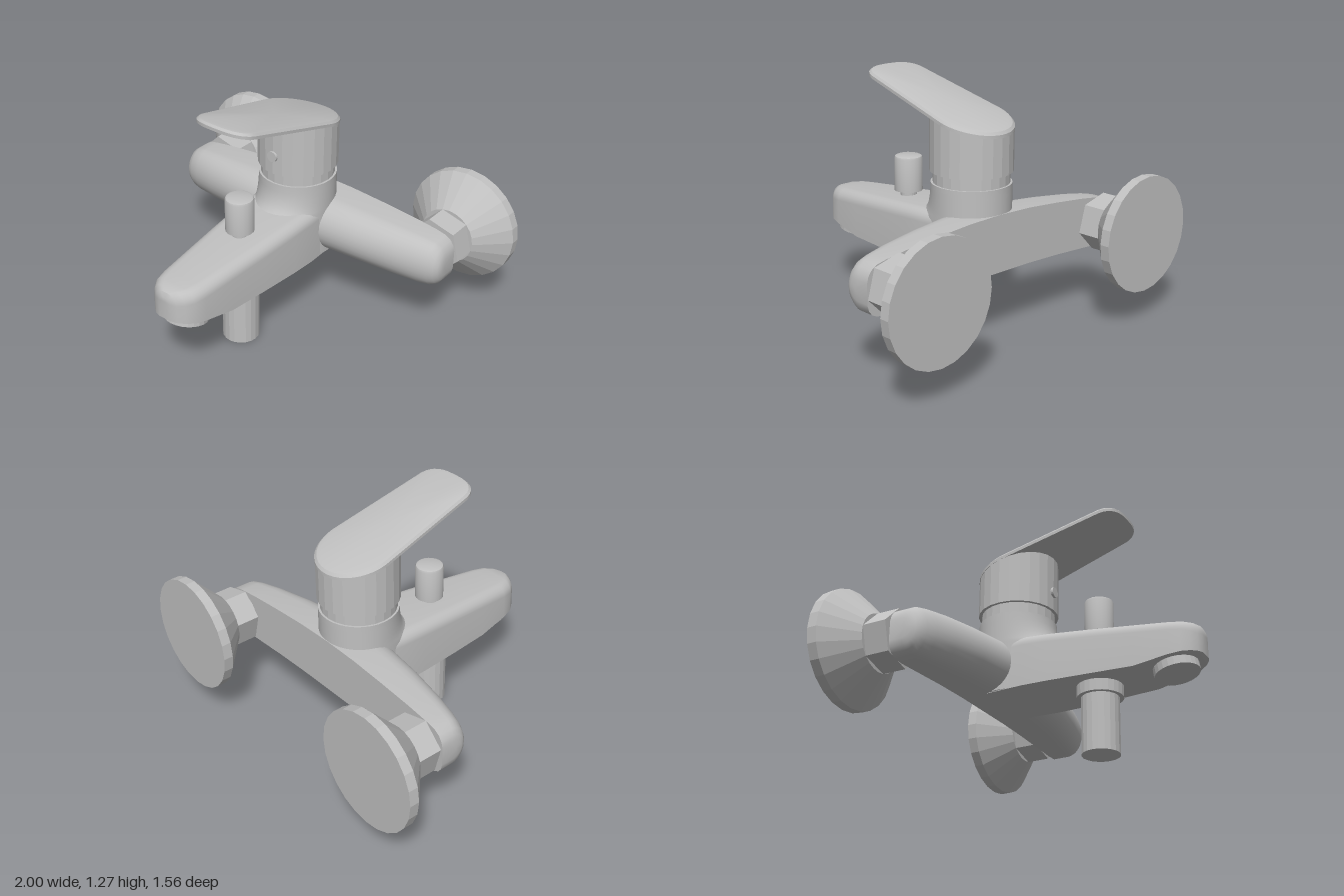
import * as THREE from 'three';
import { toCreasedNormals } from 'three/addons/utils/BufferGeometryUtils.js';

const FLAT = 0.15, SMOOTH = 0.6;

// Joins equal-length rings of [x, y, z] points into a closed solid
function loft(rings) {
  const n = rings[0].length, pos = rings.flat(2), idx = [];
  for (let r = 0; r < rings.length - 1; r++) {
    for (let i = 0; i < n; i++) {
      const a = r * n + i, b = r * n + (i + 1) % n;
      idx.push(a, b, a + n, b, b + n, a + n);
    }
  }
  [0, rings.length - 1].forEach((r, end) => {
    const c = pos.length / 3;
    for (let k = 0; k < 3; k++) pos.push(rings[r].reduce((s, p) => s + p[k], 0) / n);
    for (let i = 0; i < n; i++) {
      const a = r * n + i, b = r * n + (i + 1) % n;
      idx.push(...(end ? [a, b, c] : [b, a, c]));
    }
  });
  // turn the faces outward if the signed volume is negative
  const v = i => new THREE.Vector3().fromArray(pos, i * 3);
  let volume = 0;
  for (let i = 0; i < idx.length; i += 3) volume += v(idx[i]).dot(v(idx[i + 1]).cross(v(idx[i + 2])));
  if (volume < 0) idx.reverse();
  const g = new THREE.BufferGeometry();
  g.setAttribute('position', new THREE.Float32BufferAttribute(pos, 3));
  g.setIndex(idx);
  return g;
}

// Moves each vertex of a geometry by a rule
function reshape(g, rule) {
  const p = g.attributes.position, v = new THREE.Vector3();
  for (let i = 0; i < p.count; i++) {
    rule(v.fromBufferAttribute(p, i));
    p.setXYZ(i, v.x, v.y, v.z);
  }
  return g;
}

export function createModel() {
  const model = new THREE.Group();
  model.name = 'bathMixerTap';
  const chrome = new THREE.MeshStandardMaterial({ color: 0xc0c0c0 });
  chrome.name = 'chrome grey';

  const add = (name, g, crease, at = [0, 0, 0], rotX = 0) => {
    const m = new THREE.Mesh(toCreasedNormals(g, crease), chrome);
    m.name = name;
    m.position.set(...at);
    m.rotation.x = rotX;
    model.add(m);
    return m;
  };
  const cyl = (name, rTop, rBottom, h, sides, at, rotX = 0, crease = FLAT) =>
    add(name, new THREE.CylinderGeometry(rTop, rBottom, h, sides), crease, at, rotX);

  // Wall connections
  for (const [side, s] of [['left', 1], ['right', -1]]) {
    const x = 0.7 * s, y = 0.47, q = Math.PI / 2;
    cyl(side + 'WallFlangeRim', 0.3, 0.3, 0.05, 24, [x, y, -0.755], q);
    cyl(side + 'WallFlangeCone', 0.147, 0.3, 0.145, 24, [x, y, -0.6575], q);
    const nut = new THREE.CylinderGeometry(0.147, 0.147, 0.13, 6).rotateY(Math.PI / 12);
    add(side + 'HexNut', nut, FLAT, [x, y, -0.525], q);
    cyl(side + 'Connector', 0.095, 0.095, 0.06, 24, [x, y, -0.445], q);
  }

  // Crossbar: flat back, rounded front, curved toward the ends
  const half = [ // x, top, bottom, front z
    [0.83, 0.50, 0.40, -0.32], [0.822, 0.53, 0.37, -0.30], [0.805, 0.555, 0.347, -0.283],
    [0.775, 0.575, 0.332, -0.268], [0.72, 0.587, 0.329, -0.25], [0.6, 0.603, 0.335, -0.222],
    [0.4, 0.622, 0.345, -0.187], [0.2, 0.637, 0.35, -0.165], [0, 0.642, 0.35, -0.16]];
  const stations = [...half, ...half.slice(0, -1).reverse().map(([x, ...r]) => [-x, ...r])];
  add('crossbar', loft(stations.map(([x, top, bottom, front]) => {
    const ring = [[x, top, -0.44]], mid = (top + bottom) / 2, zc = -0.44 + 0.5 * (front + 0.44);
    for (let i = 0; i <= 14; i++) {
      const a = Math.PI * (0.5 - i / 14);
      ring.push([x, mid + Math.sin(a) * (top - bottom) / 2, zc + Math.cos(a) * (front - zc)]);
    }
    ring.push([x, bottom, -0.44]);
    return ring;
  })), SMOOTH);

  // Spout: rounded top corners, flat underside rising at the nose
  const spout = [ // z, half width, top, bottom
    [-0.3, 0.19, 0.632, 0.349], [-0.1, 0.2, 0.628, 0.349], [0.03, 0.195, 0.62, 0.349],
    [0.25, 0.178, 0.602, 0.349], [0.47, 0.158, 0.583, 0.35], [0.64, 0.142, 0.568, 0.38],
    [0.7, 0.128, 0.563, 0.39], [0.74, 0.1, 0.558, 0.397], [0.765, 0.068, 0.548, 0.401],
    [0.777, 0.035, 0.525, 0.404]];
  add('spout', loft(spout.map(([z, w, top, bottom]) => {
    const r = Math.min(0.06, w * 0.8), right = [[w, bottom, z]];
    for (let i = 0; i <= 6; i++) {
      const a = i / 6 * Math.PI / 2;
      right.push([w * 0.98 - r + Math.cos(a) * r, top - r + Math.sin(a) * r, z]);
    }
    return [...right, ...right.map(([x, y]) => [-x, y, z]).reverse()];
  })), SMOOTH);

  // Central column, its front sweeping forward into the spout
  const column = [[0.001, 0.352], [0.2, 0.352], [0.2, 0.6], [0.2, 0.62], [0.2, 0.64], [0.2, 0.665],
    [0.2, 0.695], [0.2, 0.73], [0.2, 0.77], [0.001, 0.77]].map(p => new THREE.Vector2(...p));
  add('column', reshape(new THREE.LatheGeometry(column, 32), v => {
    const t = THREE.MathUtils.clamp((0.76 - v.y) / 0.15, 0, 1);
    if (v.z > 0) v.z *= 1 + 0.38 * (1 - Math.sqrt(1 - t * t));
  }), SMOOTH, [0, 0, -0.238]);
  cyl('neckRing', 0.19, 0.19, 0.07, 24, [0, 0.8, -0.238]);

  // Handle body with a sloping top, and the lever plate above it
  const slope = 0.263, leverY = z => 1.02 + slope * (z + 0.445);
  add('handleBody', reshape(new THREE.CylinderGeometry(0.206, 0.206, 1, 24).translate(0, 0, -0.238),
    v => { v.y = v.y > 0 ? leverY(v.z) + 0.008 : 0.828; }), FLAT);

  const outline = [];
  for (let i = 0; i <= 20; i++) { // round rear end
    const a = Math.PI * i / 20;
    outline.push([0.206 * Math.cos(a), -0.24 - 0.206 * Math.sin(a)]);
  }
  for (let i = 0; i <= 16; i++) { // blunter front end
    const a = Math.PI * (1 - i / 16), c = Math.cos(a);
    outline.push([0.168 * Math.sign(c) * Math.abs(c) ** 0.7, 0.28 + 0.115 * Math.sin(a) ** 0.8]);
  }
  const layer = (sx, sz, lift) => outline.map(([x, z]) => {
    const zz = -0.025 + (z + 0.025) * sz;
    return [x * sx, leverY(zz) + lift, zz];
  });
  add('lever', loft([layer(1, 1, 0), layer(1, 1, 0.016), layer(0.95, 0.975, 0.028), layer(0.86, 0.93, 0.033)]), 0.3);

  // Temperature button on the handle
  cyl('handleButton', 0.028, 0.028, 0.02, 20, [0, 0.927, -0.032], Math.PI / 2);

  // Diverter knob
  cyl('diverterStem', 0.042, 0.042, 0.1, 20, [0, 0.6, 0.225]);
  const knob = [[0.001, 0.63], [0.073, 0.63], [0.073, 0.8], [0.069, 0.81], [0.058, 0.815], [0.001, 0.815]];
  add('diverterKnob', new THREE.LatheGeometry(knob.map(p => new THREE.Vector2(...p)), 20), SMOOTH, [0, 0, 0.225]);

  // Hose outlet and aerator under the spout
  cyl('outletCollar', 0.116, 0.116, 0.07, 24, [0, 0.325, 0.225]);
  cyl('outletPipe', 0.095, 0.095, 0.3, 20, [0, 0.15, 0.225]);
  cyl('aerator', 0.112, 0.112, 0.07, 24, [0, 0.37, 0.625], -0.175);

  return model;
}
